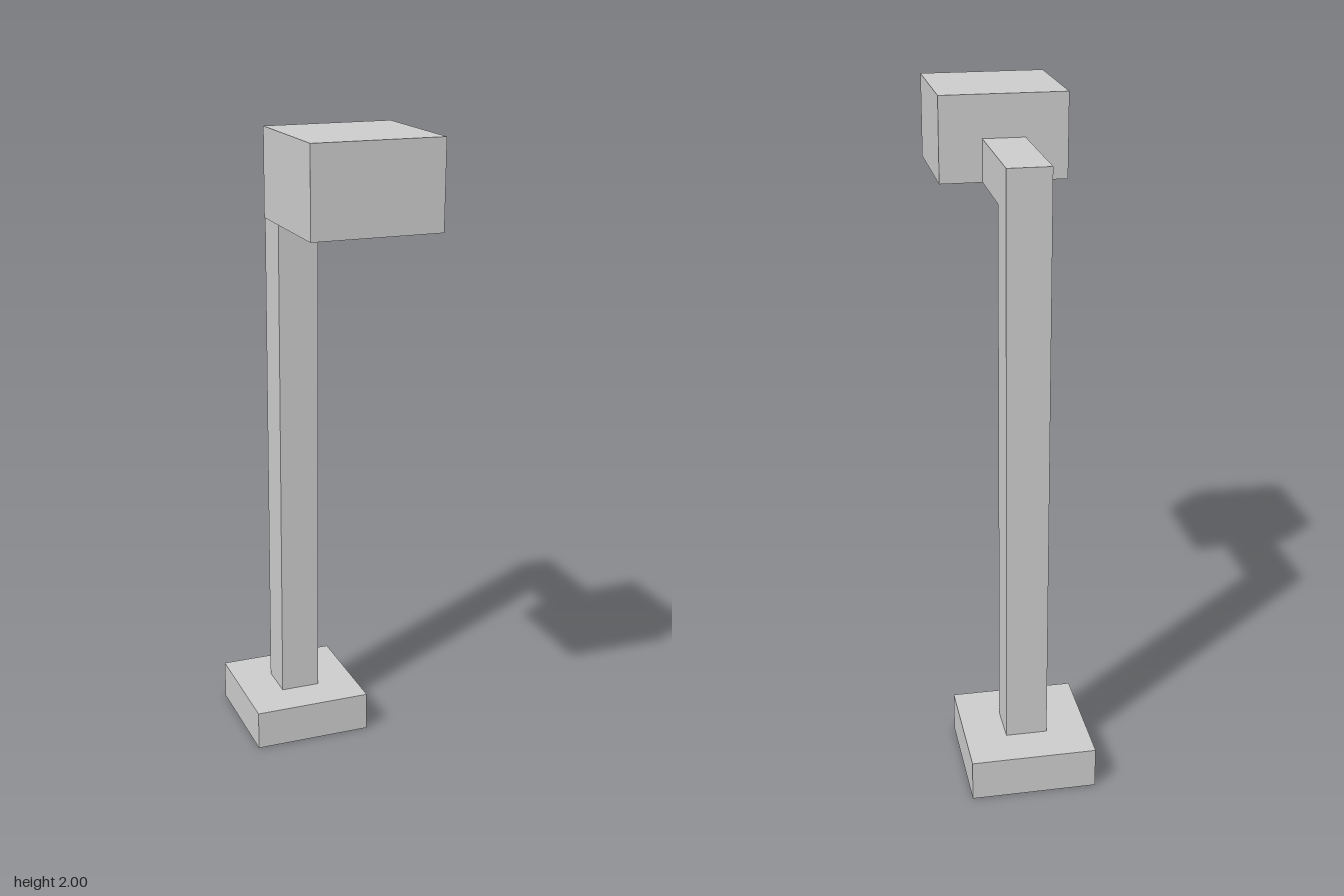
import * as THREE from 'three';

const material = new THREE.MeshStandardMaterial({ color: 0xcccccc, flatShading: true });

function addPart(group, name, geometry, x = 0, y = 0, z = 0) {
  const mesh = new THREE.Mesh(geometry, material);
  mesh.name = name;
  mesh.position.set(x, y, z);
  group.add(mesh);
}

export function createModel() {
  const group = new THREE.Group();
  group.name = 'streetLamp';

  // Square foot
  addPart(group, 'base', new THREE.BoxGeometry(0.375, 0.125, 0.375), 0, 0.0625, -0.25);

  // Post and forward arm: one L-shaped side profile (z, y), extruded across x
  const profile = new THREE.Shape([
    [-0.3125, 0.125], [-0.1875, 0.125], [-0.1875, 1.75],
    [0.0625, 1.75], [0.0625, 1.875], [-0.3125, 1.875],
  ].map(([z, y]) => new THREE.Vector2(z, y)));
  const post = new THREE.ExtrudeGeometry(profile, { depth: 0.125, bevelEnabled: false });
  post.translate(0, 0, -0.0625).rotateY(-Math.PI / 2);
  addPart(group, 'postAndArm', post);

  // Lamp head at the end of the arm
  addPart(group, 'lampHead', new THREE.BoxGeometry(0.375, 0.25, 0.375), 0, 1.875, 0.25);

  return group;
}
